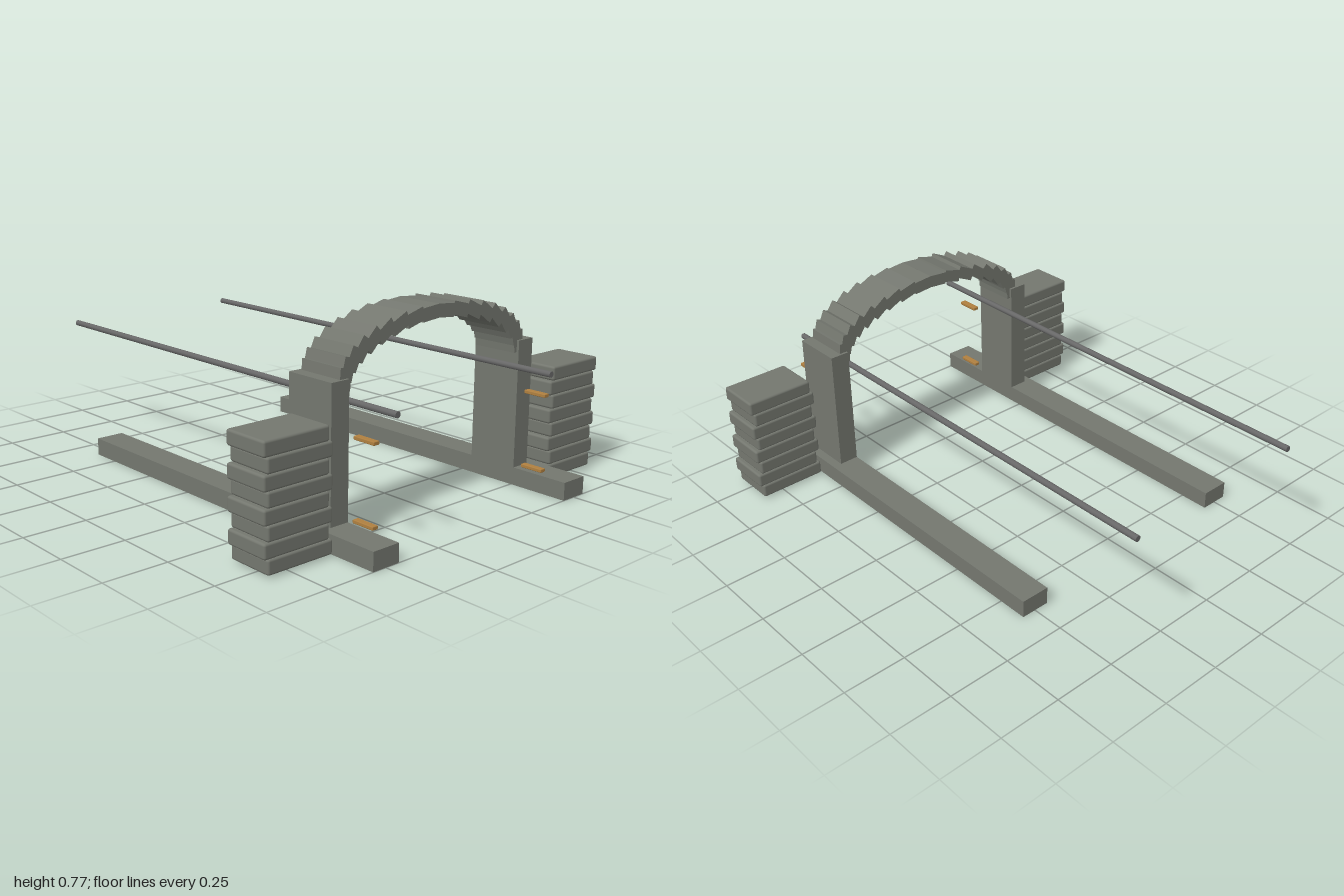
import * as THREE from 'three';
import { RoundedBoxGeometry } from 'three/addons/geometries/RoundedBoxGeometry.js';

export function createModel() {
  const model = new THREE.Group();
  model.name = 'archedGateway';

  const material = (name, color) => {
    const m = new THREE.MeshStandardMaterial({ color });
    m.name = name;
    return m;
  };
  const stone = material('stone grey', 0x74776f);
  const iron = material('iron grey', 0x686868);
  const brass = material('brass', 0xb08040);

  const add = (name, geometry, mat, x, y, z, parent = model) => {
    const mesh = new THREE.Mesh(geometry, mat);
    mesh.name = name;
    mesh.position.set(x, y, z);
    parent.add(mesh);
    return mesh;
  };

  const kerbGeo = new THREE.BoxGeometry(0.117, 0.07, 1.62);
  const pillarGeo = new THREE.BoxGeometry(0.08, 0.5, 0.21);
  const railGeo = new THREE.CylinderGeometry(0.012, 0.012, 1.945, 10).rotateX(Math.PI / 2);
  const hingeGeo = new RoundedBoxGeometry(0.026, 0.014, 0.096, 1, 0.003);
  const bagGeo = new RoundedBoxGeometry(0.277, 0.056, 0.189, 2, 0.009);

  for (const side of [1, -1]) {
    const name = side > 0 ? 'left' : 'right';
    add(name + 'Kerb', kerbGeo, stone, side * 0.4985, 0.035, 0.19);
    add(name + 'Pillar', pillarGeo, stone, side * 0.48, 0.32, 0.655);
    add(name + 'Rail', railGeo, iron, side * 0.4, 0.48, -0.0275);
    for (const y of [0.09, 0.382]) add(name + 'Hinge', hingeGeo, brass, side * 0.445, y, 0.848);

    // Stack of sandbags, each course shifted a little from the last
    const stack = new THREE.Group();
    stack.name = name + 'SandbagStack';
    model.add(stack);
    for (let i = 0; i < 8; i++) {
      add('sandbag', bagGeo, stone, side * (i % 2 ? 0.72 : 0.705), 0.036 + i * 0.056, 0.7275, stack);
    }
  }

  // Elliptical arch of overlapping blocks, turned as if on a circle
  const arch = new THREE.Group();
  arch.name = 'arch';
  model.add(arch);
  const blockGeo = new THREE.BoxGeometry(0.083, 0.05, 0.19);
  const count = 18;
  for (let i = 0; i < count; i++) {
    const a = ((i + 0.5) / count) * Math.PI;
    const block = add('archBlock', blockGeo, stone, 0.45 * Math.cos(a), 0.55 + 0.187 * Math.sin(a), 0.655, arch);
    block.rotation.z = a - Math.PI / 2;
  }

  return model;
}
